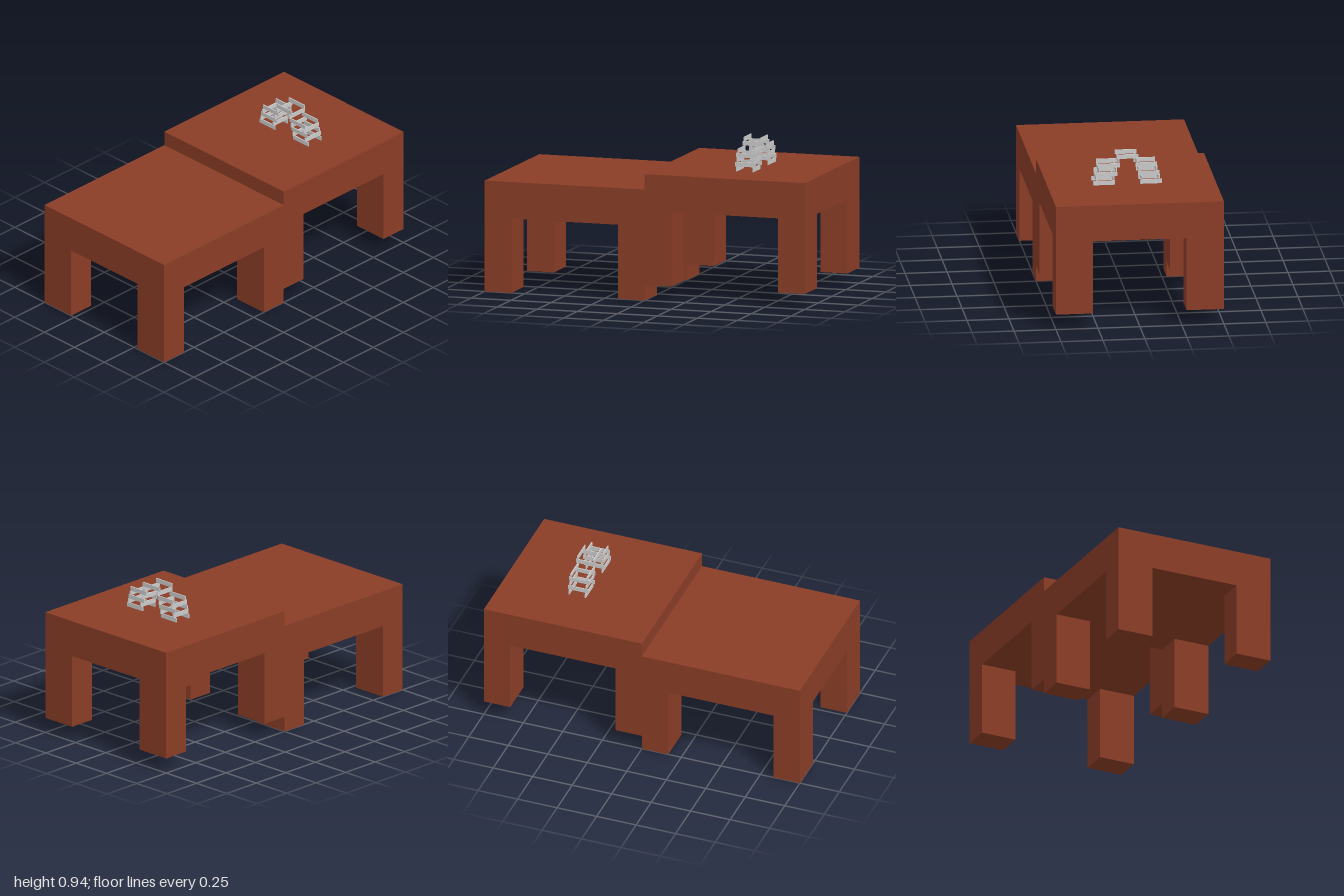
import * as THREE from 'three';

const wood = new THREE.MeshStandardMaterial({ color: 0x8a3d26 });
const grey = new THREE.MeshStandardMaterial({ color: 0xcccccc });

function box(parent, name, size, pos, material) {
  const mesh = new THREE.Mesh(new THREE.BoxGeometry(...size), material);
  mesh.name = name;
  mesh.position.set(...pos);
  parent.add(mesh);
}

// Thick square table: solid top slab on four corner legs
function createTable(name) {
  const table = new THREE.Group();
  table.name = name;
  const height = 0.665, under = 0.445, legX = 0.167, legZ = 0.222;
  box(table, 'tableTop', [1, height - under, 1], [0, (height + under) / 2, 0], wood);
  for (const sx of [-1, 1]) {
    for (const sz of [-1, 1]) {
      box(table, 'tableLeg', [legX, under, legZ],
        [sx * (0.5 - legX / 2), under / 2, sz * (0.5 - legZ / 2)], wood);
    }
  }
  return table;
}

// Arch of thin planks on edge, stacked crosswise in two leaning towers
function createPlankArch() {
  const arch = new THREE.Group();
  arch.name = 'plankArch';
  const length = 0.129, thick = 0.0065, step = 0.0263, gap = 0.0515;

  const railPair = (z, level) => {
    for (const s of [-1, 1]) {
      box(arch, 'railPlank', [thick, step, length], [s * gap, (level + 0.5) * step, z], grey);
    }
  };
  const crossPlank = (z, level) =>
    box(arch, 'crossPlank', [length, step, thick], [0, (level + 0.5) * step, z], grey);

  for (const side of [-1, 1]) {
    // Each rail layer steps inward toward the middle
    [0.14, 0.1265, 0.1115].forEach((z, i) => railPair(side * z, i * 2));
    for (const s of [-1, 1]) {
      crossPlank(side * (0.134 + s * 0.051), 1);
      crossPlank(side * (0.119 + s * 0.051), 3);
    }
    crossPlank(side * 0.0535, 5);
  }
  // Bridge across the two towers
  railPair(0, 6);
  return arch;
}

export function createModel() {
  const model = new THREE.Group();
  model.name = 'tablesWithPlankArch';

  const lowTable = createTable('lowTable');
  lowTable.position.x = -0.5;

  const highTable = createTable('highTable');
  highTable.position.set(0.5, 0.092, 0);

  const arch = createPlankArch();
  arch.position.set(0.532, 0.757, 0.024);

  model.add(lowTable, highTable, arch);
  return model;
}
